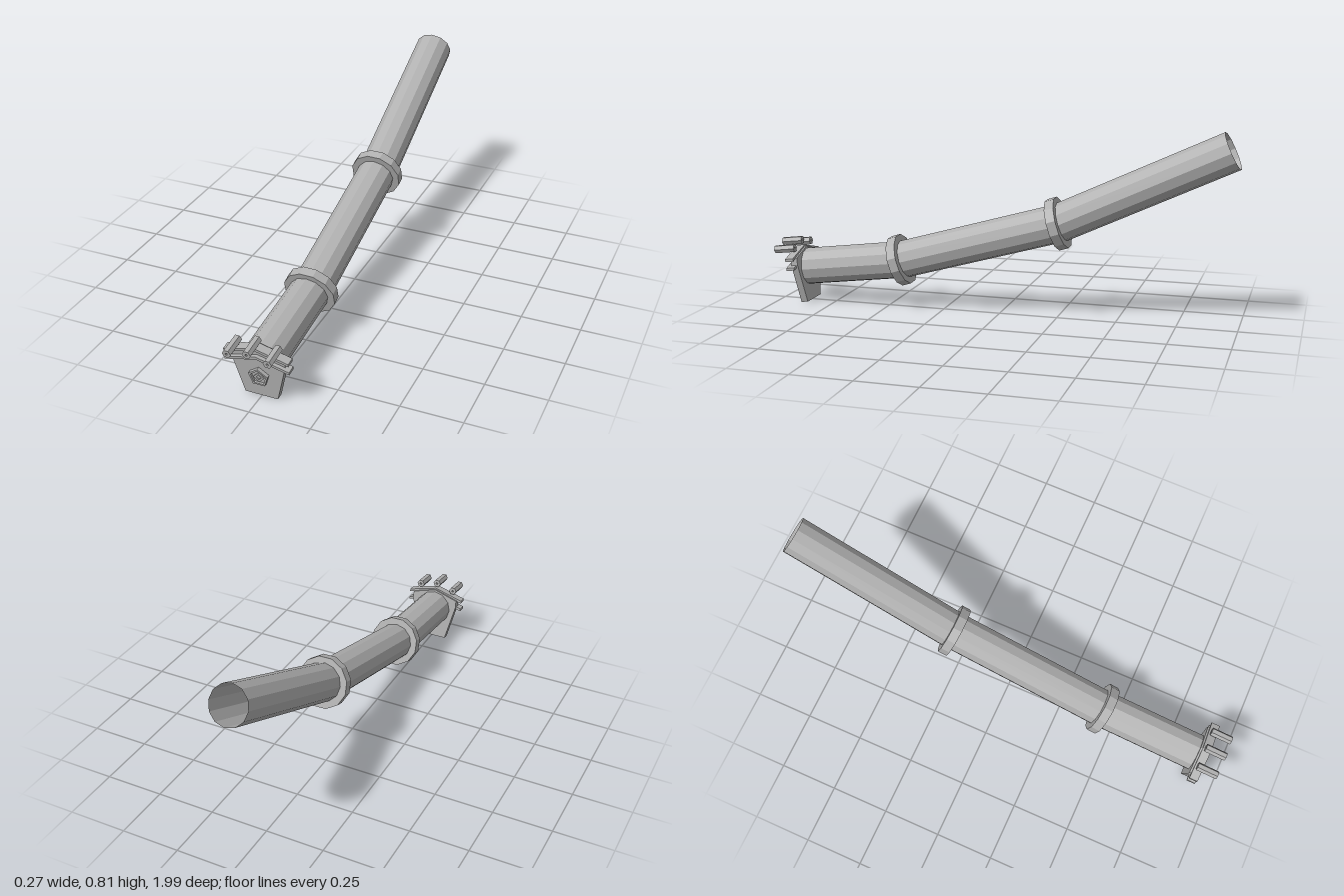
import * as THREE from 'three';

const steel = new THREE.MeshStandardMaterial({ color: 0xb0b0b0, side: THREE.DoubleSide });
steel.name = 'grey steel';
steel.flatShading = true;

function part(name, geometry, parent) {
  const mesh = new THREE.Mesh(geometry, steel);
  mesh.name = name;
  parent.add(mesh);
  return mesh;
}

const shape = (points) => new THREE.Shape(points.map(([x, y]) => new THREE.Vector2(x, y)));

const polygon = (sides, r, start, cy = 0) => Array.from({ length: sides }, (_, i) => {
  const a = start + (i / sides) * Math.PI * 2;
  return [r * Math.cos(a), cy + r * Math.sin(a)];
});

// Extrudes an outline forward from z0 to z1, with an optional hole
function slab(points, z0, z1, hole) {
  const s = shape(points);
  if (hole) s.holes.push(shape(hole));
  const g = new THREE.ExtrudeGeometry(s, { depth: z1 - z0, bevelEnabled: false });
  return g.translate(0, 0, z0);
}

// Open twelve-sided pipe between two points [y, z] in the x = 0 plane
function pipe(name, [y0, z0], [y1, z1], parent) {
  const length = Math.hypot(y1 - y0, z1 - z0);
  const g = new THREE.CylinderGeometry(0.081, 0.081, length, 12, 1, true).rotateX(Math.PI / 2);
  const mesh = part(name, g, parent);
  mesh.position.set(0, (y0 + y1) / 2, (z0 + z1) / 2);
  mesh.rotation.x = Math.atan2(y1 - y0, z0 - z1);
}

export function createModel() {
  const model = new THREE.Group();
  model.name = 'bentPipe';

  // Three straight pipe sections
  const joints = [[0.15, 0.888], [0.207, 0.442], [0.405, -0.252], [0.735, -0.957]];
  ['frontPipe', 'middlePipe', 'rearPipe'].forEach((name, i) => pipe(name, joints[i], joints[i + 1], model));

  // Collars over the two bends
  [joints[1], joints[2]].forEach(([y, z], i) => {
    const g = new THREE.CylinderGeometry(0.11, 0.11, 0.04, 12);
    g.rotateY(0.24).rotateX(Math.PI / 2);
    const collar = part(i ? 'rearCollar' : 'frontCollar', g, model);
    collar.position.set(0, y, z);
    collar.rotation.x = 0.305;
  });

  // Tilted end plate with its fittings
  const end = new THREE.Group();
  end.name = 'endPlateAssembly';
  end.position.set(0, 0.005, 0.86);
  end.rotation.x = 0.124;
  model.add(end);
  part('endPlate', slab([[-0.07, 0], [0.066, 0], [0.112, 0.175], [0.11, 0.205], [0, 0.238],
    [-0.11, 0.205], [-0.112, 0.175]], 0, 0.03), end);

  // Two chevron rails across the plate
  [0.204, 0.244].forEach((peak, i) => {
    const t = 0.012;
    part(i ? 'upperRail' : 'lowerRail', slab([[-0.133, peak - 0.036 - t], [0, peak - t], [0.133, peak - 0.036 - t],
      [0.133, peak - 0.036], [0, peak], [-0.133, peak - 0.036]], 0.008, 0.045), end);
  });

  // Hollow hexagonal spouts on the upper rail
  [[-0.083, 0.246], [0, 0.266], [0.083, 0.246]].forEach(([x, y], i) => {
    const g = slab(polygon(6, 0.018, 0), 0.015, 0.107, polygon(6, 0.005, 0));
    part(['rightSpout', 'middleSpout', 'leftSpout'][i], g, end).position.set(x, y, 0);
  });

  // Pentagonal badge frame with a plain diamond stud
  const up = Math.PI / 2;
  part('badgeFrame', slab(polygon(5, 0.042, up, 0.1), 0.03, 0.045, polygon(5, 0.033, up, 0.1)), end);
  part('badgeBase', slab(polygon(5, 0.033, up, 0.1), 0.03, 0.036), end);
  part('badgeStud', slab(polygon(4, 0.022, up, 0.099), 0.036, 0.042, polygon(4, 0.011, up, 0.099)), end);

  return model;
}
